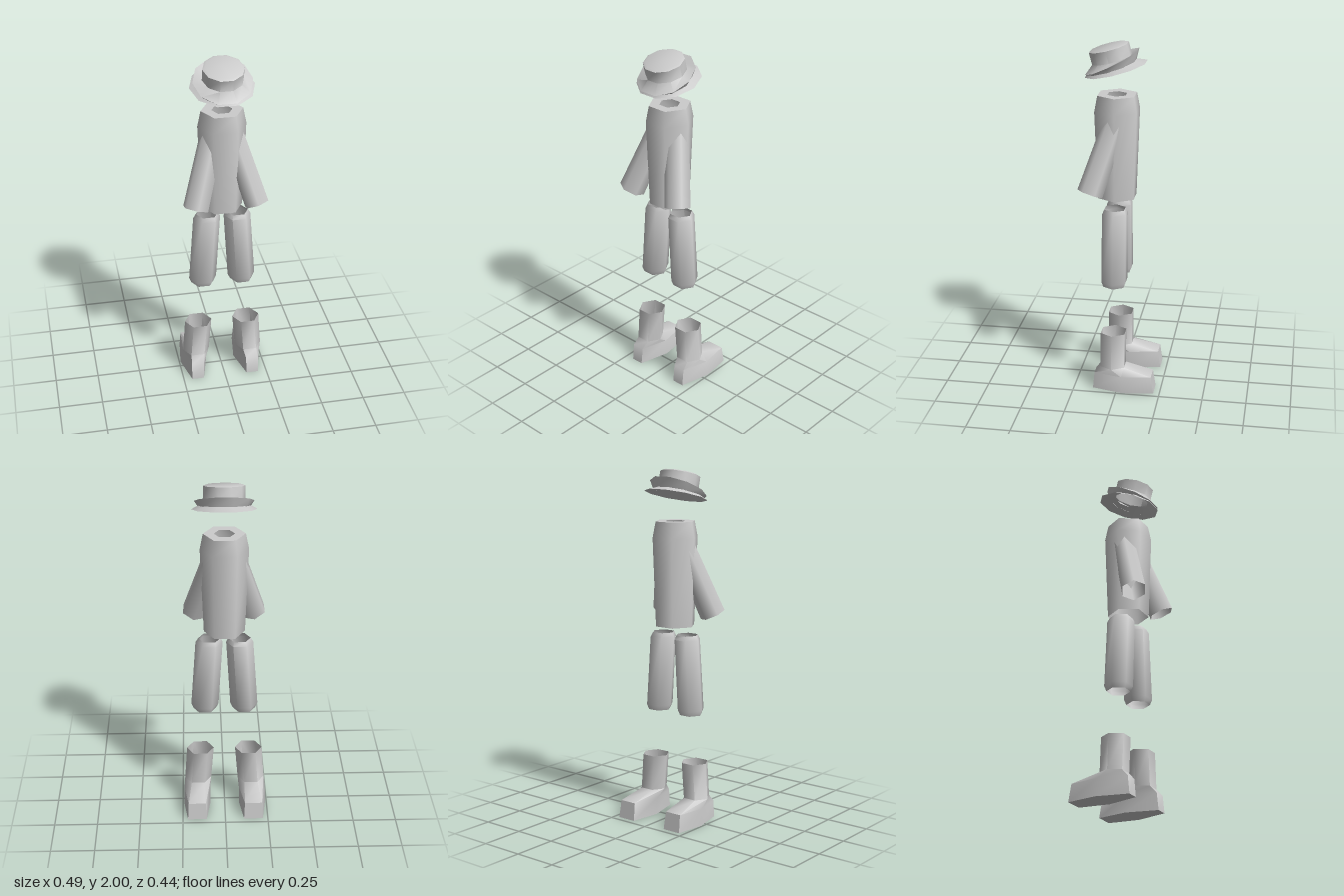
import * as THREE from 'three';
import { toCreasedNormals } from 'three/addons/utils/BufferGeometryUtils.js';

const material = new THREE.MeshStandardMaterial({ color: 0xcccccc, side: THREE.DoubleSide });

// Skin a stack of rings, listed bottom to top, each with the same number of [x, y, z] points
function loft(name, rings, crease = 1.12) {
  const n = rings[0].length;
  const index = [];
  for (let j = 0; j < rings.length - 1; j++) {
    for (let i = 0; i < n; i++) {
      const a = j * n + i, b = j * n + (i + 1) % n;
      index.push(a, a + n, b, b, a + n, b + n);
    }
  }
  const geometry = new THREE.BufferGeometry();
  geometry.setAttribute('position', new THREE.Float32BufferAttribute(rings.flat(2), 3));
  geometry.setIndex(index);
  const mesh = new THREE.Mesh(toCreasedNormals(geometry, crease), material);
  mesh.name = name;
  return mesh;
}

// Regular ring with a corner on the x axis; slope tips it along z
function ring(sides, r, x, y, z, slope = 0) {
  return Array.from({ length: sides }, (_, i) => {
    const a = i / sides * Math.PI * 2;
    const dz = r * Math.sin(a);
    return [x + r * Math.cos(a), y + slope * dz, z + dz];
  });
}

// Mirror rings across x = 0 and restore their winding
const mirror = (rings) => rings.map((r) => r.map(([x, y, z]) => [-x, y, z]).reverse());

const Z = 0.027; // depth of the body's centre line

function makeBoot() {
  // Six corners: outer side, two heel, inner side, two toe
  const sole = [[0.243, 0, -0.04], [0.2, 0, 0.14], [0.13, 0, 0.14],
    [0.085, 0, -0.04], [0.11, 0, -0.215], [0.22, 0, -0.215]];
  const upper = [[0.24, 0.1, -0.03], [0.2, 0.1, 0.13], [0.128, 0.1, 0.13],
    [0.085, 0.1, -0.03], [0.115, 0.1, -0.2], [0.215, 0.1, -0.2]];
  return [
    ring(6, 0, 0.163, 0, -0.03),
    sole,
    upper,
    ring(6, 0.078, 0.157, 0.14, Z),
    ring(6, 0.079, 0.142, 0.345, Z),
  ];
}

function makeLeg() {
  return [
    ring(6, 0.066, 0.114, 0.62, Z),
    ring(6, 0.079, 0.113, 0.65, Z),
    ring(6, 0.077, 0.087, 1.05, Z),
    ring(6, 0.064, 0.085, 1.075, Z),
  ];
}

// Sleeve running from inside the shoulder down and forward
function makeArm(side) {
  const top = new THREE.Vector3(side * 0.045, 1.6, 0.018);
  const hand = new THREE.Vector3(side * 0.17, 1.183, 0.153);
  const axis = top.clone().sub(hand);
  const geometry = new THREE.CylinderGeometry(0.066, 0.073, axis.length(), 6, 1, true);
  const arm = new THREE.Mesh(geometry, material);
  arm.position.copy(top).add(hand).multiplyScalar(0.5);
  arm.quaternion.setFromUnitVectors(new THREE.Vector3(0, 1, 0), axis.normalize());
  arm.name = side > 0 ? 'leftArm' : 'rightArm';
  return arm;
}

export function createModel() {
  const model = new THREE.Group();
  model.name = 'figure';

  // Torso, open at the hem and neck
  model.add(loft('torso', [
    ring(6, 0.116, 0, 1.12, Z),
    ring(6, 0.135, 0, 1.62, Z),
    ring(6, 0.117, 0, 1.71, Z),
    ring(6, 0.058, 0, 1.71, Z),
  ]));

  // Limbs on both sides
  model.add(makeArm(1), makeArm(-1));
  model.add(loft('leftLeg', makeLeg()), loft('rightLeg', mirror(makeLeg())));
  model.add(loft('leftBoot', makeBoot()), loft('rightBoot', mirror(makeBoot())));

  // Tilted hat: head opening, lower brim, fold, turned-up brim, crown
  const hat = loft('hat', [
    ring(10, 0.1, 0, -0.02, 0),
    ring(10, 0.178, 0, -0.056, -0.009),
    ring(10, 0.145, 0, -0.04, 0.014, -0.04),
    ring(10, 0.163, 0, -0.012, 0.003, -0.2),
    ring(10, 0.113, 0, 0, 0),
    ring(10, 0.113, 0, 0.068, 0),
    ring(10, 0.1, 0, 0.074, 0),
    ring(10, 0, 0, 0.074, 0),
  ], 1);
  hat.position.set(0, 1.902, 0.055);
  hat.rotation.x = 0.26;
  model.add(hat);

  return model;
}
